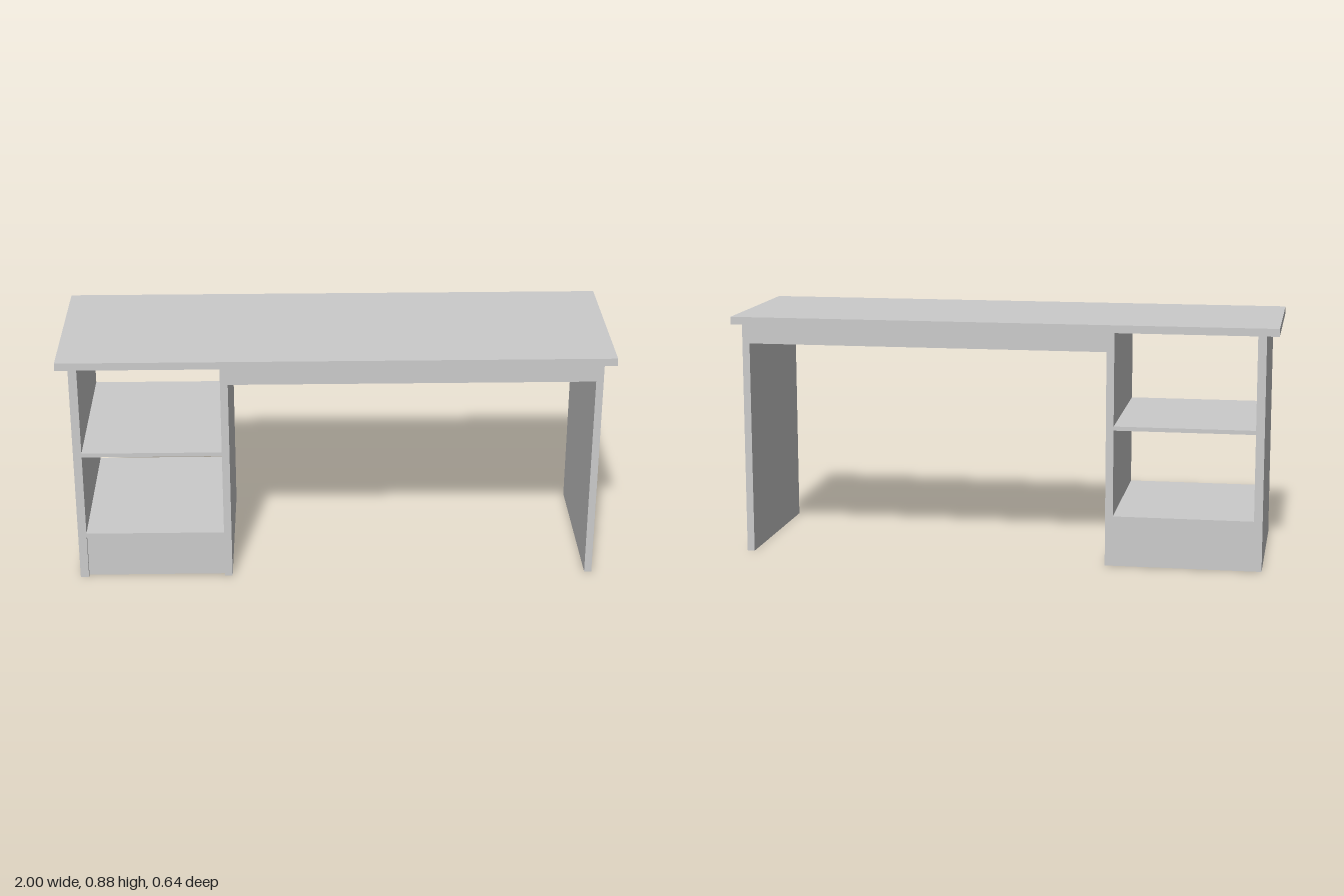
import * as THREE from 'three';

export function createModel() {
  const desk = new THREE.Group();
  desk.name = 'desk';
  const material = new THREE.MeshStandardMaterial({ color: 0xcccccc, flatShading: true });

  const back = -0.32, front = 0.302, topUnder = 0.853;

  // Box given by its limits along each axis
  function board(name, x0, x1, y0, y1, z0 = back, z1 = front) {
    const mesh = new THREE.Mesh(new THREE.BoxGeometry(x1 - x0, y1 - y0, z1 - z0), material);
    mesh.position.set((x0 + x1) / 2, (y0 + y1) / 2, (z0 + z1) / 2);
    mesh.name = name;
    desk.add(mesh);
  }

  // Worktop, overhanging at the front and both ends
  board('worktop', -1, 1, topUnder, 0.881, back, 0.32);

  // Upright panels
  board('outerCabinetPanel', -0.956, -0.925, 0, topUnder);
  board('innerCabinetPanel', -0.417, -0.389, 0, topUnder);
  board('endPanel', 0.93, 0.957, 0, topUnder);

  // Full-depth drawer box under the worktop
  board('drawerBox', -0.389, 0.93, 0.784, topUnder);

  // Open cabinet: two shelves above a slightly recessed plinth
  board('middleShelf', -0.925, -0.417, 0.5, 0.515);
  board('bottomShelf', -0.925, -0.417, 0.169, 0.184);
  board('plinth', -0.925, -0.417, 0, 0.169, back, front - 0.016);

  return desk;
}
